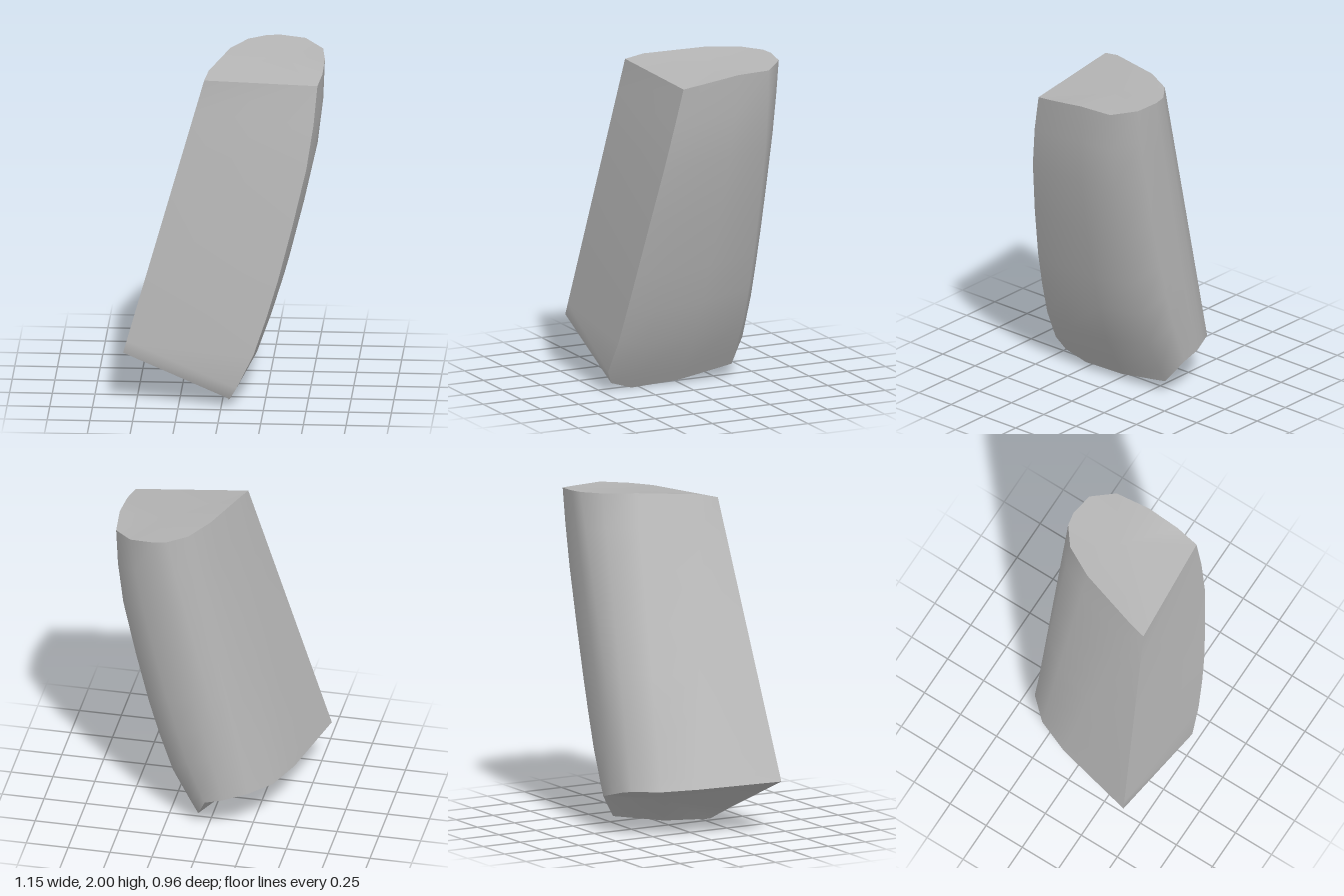
import * as THREE from 'three';

// Matching points of the bottom and top outlines, running from the front left
// corner along the front, the curved side, the back and the straight side:
// [bottom point, top point, outward bow of the line between them]
const lines = [
  [[-0.575, 0.32, 0.43], [-0.11, 1.95, 0.27], 0],
  [[0.05, 0.05, 0.44], [0.55, 1.91, 0.215], 1],
  [[0.035, 0.003, 0.3], [0.57, 1.935, 0.07], 1.3],
  [[0.05, 0.02, 0], [0.573, 1.963, -0.13], 1.35],
  [[0.06, 0.08, -0.34], [0.55, 1.962, -0.34], 1.2],
  [[0, 0.22, -0.44], [0.44, 1.985, -0.46], 0.6],
  [[-0.11, 0.25, -0.44], [0.3, 1.995, -0.48], 0.15],
  [[-0.18, 0.27, -0.42], [0.22, 1.998, -0.465], 0],
  [[-0.25, 0.285, -0.395], [0.11, 2, -0.38], 0],
  [[-0.37, 0.29, -0.265], [0.015, 2, -0.2], 0],
  [[-0.455, 0.3, -0.06], [-0.09, 1.975, 0.16], 0],
];

// Heights of the rows, with the bow in x and, for the front edge, in z
const rows = [[0, 0, 0], [0.043, 0.02, 0.05], [0.15, 0.065, 0.054], [0.27, 0.08, 0.057],
  [0.387, 0.086, 0.057], [0.56, 0.082, 0.05], [0.742, 0.07, 0.037], [0.88, 0.04, 0.02], [1, 0, 0]];

function pointAt(column, [v, bowX, bowZ]) {
  const [bottom, top, bow] = lines[column % lines.length];
  const p = new THREE.Vector3(...bottom).lerp(new THREE.Vector3(...top), v);
  p.x += bowX * bow;
  if (column === 1) p.z += bowZ;
  if (column === 2) p.z += bowZ * 0.4;
  return p;
}

function geometryFrom(points, index) {
  const geometry = new THREE.BufferGeometry().setFromPoints(points);
  geometry.setIndex(index);
  geometry.computeVertexNormals();
  return geometry;
}

// Wall between two columns of the outline, smooth inside and sharp at its ends
function wall(first, last) {
  const points = [], index = [], n = last - first + 1;
  rows.forEach((row, j) => {
    for (let i = 0; i < n; i++) {
      points.push(pointAt(first + i, row));
      if (j && i) {
        const d = j * n + i, c = d - 1, b = d - n, a = b - 1;
        index.push(a, b, d, a, d, c);
      }
    }
  });
  return geometryFrom(points, index);
}

// End face as a fan around the middle of the outline
function cap(row, up) {
  const points = lines.map((_, i) => pointAt(i, row)), n = points.length, index = [];
  const centre = new THREE.Vector3();
  points.forEach((p) => centre.addScaledVector(p, 1 / n));
  points.push(centre);
  for (let i = 0; i < n; i++) {
    const k = (i + 1) % n;
    index.push(n, up ? i : k, up ? k : i);
  }
  return geometryFrom(points, index);
}

export function createModel() {
  const grey = new THREE.MeshStandardMaterial({ color: 0xb4b4b4 });
  grey.name = 'stone grey';
  const group = new THREE.Group();
  group.name = 'curvedBlock';
  const add = (name, geometry) => {
    const mesh = new THREE.Mesh(geometry, grey);
    mesh.name = name;
    group.add(mesh);
  };
  add('frontFace', wall(0, 1));
  add('roundedBack', wall(1, lines.length));
  add('topFace', cap(rows[rows.length - 1], true));
  add('bottomFace', cap(rows[0], false));
  return group;
}
